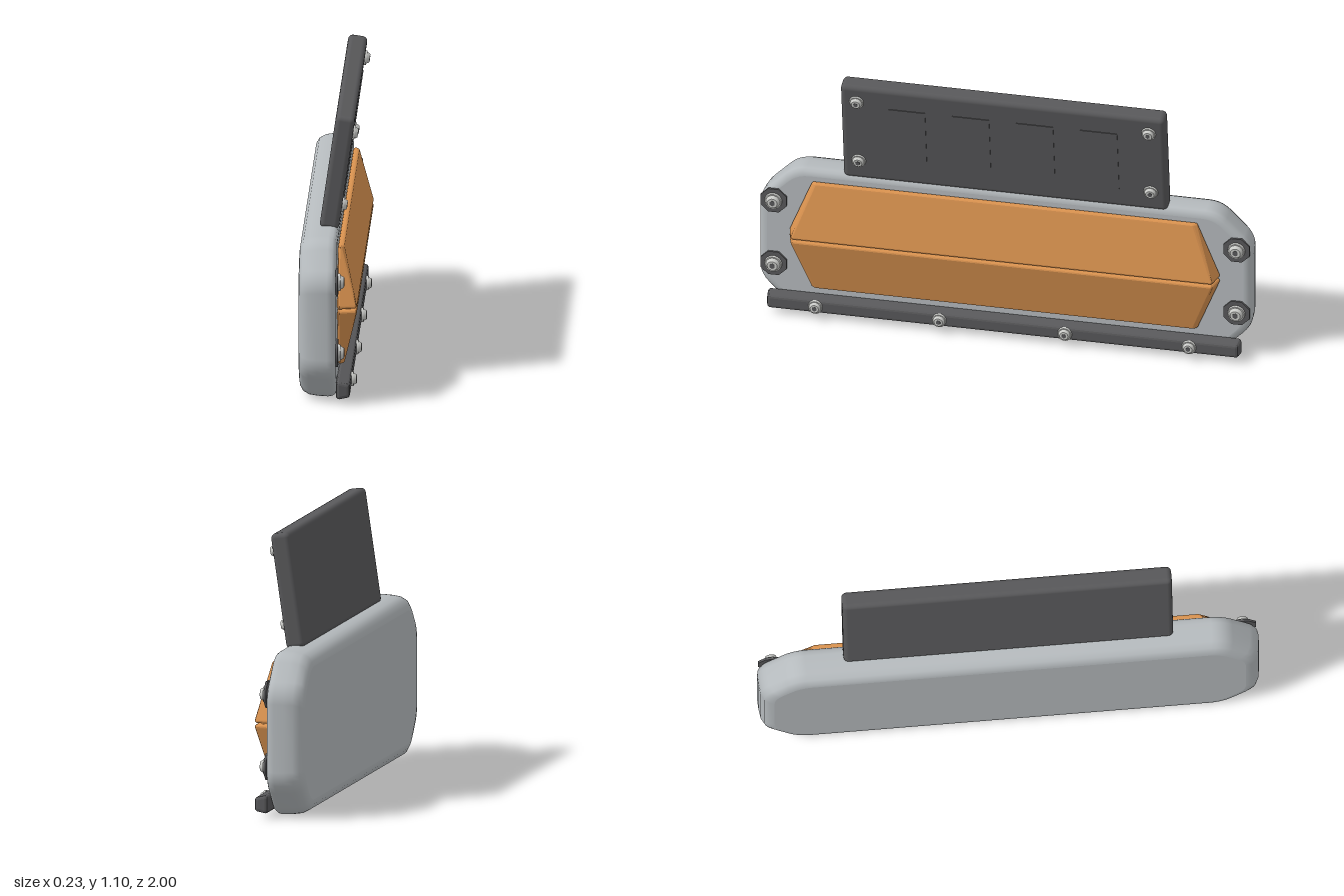
import * as THREE from 'three';
import { RoundedBoxGeometry } from 'three/addons/geometries/RoundedBoxGeometry.js';
import { ConvexGeometry } from 'three/addons/geometries/ConvexGeometry.js';

const mat = (name, color) => {
  const m = new THREE.MeshStandardMaterial({ color });
  m.name = name;
  return m;
};

function addMesh(parent, name, geometry, material, x = 0, y = 0, z = 0) {
  const m = new THREE.Mesh(geometry, material);
  m.name = name;
  m.position.set(x, y, z);
  parent.add(m);
  return m;
}

// Octagonal outline in (y, z) with softened corners, shrunk by inset
function outline(inset) {
  const hy = 0.3275 - inset, hz = 1 - inset, c = 0.14 - inset * 0.586, r = 0.05;
  const corners = [
    [hy, c - hz], [hy, hz - c], [hy - c, hz], [c - hy, hz],
    [-hy, hz - c], [-hy, c - hz], [c - hy, -hz], [hy - c, -hz],
  ].map(([y, z]) => new THREE.Vector2(y, z));
  return corners.flatMap((p, i) => {
    const toward = (q) => q.clone().sub(p).setLength(r).add(p);
    const prev = corners[(i + 7) % 8], next = corners[(i + 1) % 8];
    return new THREE.QuadraticBezierCurve(toward(prev), p, toward(next)).getPoints(5);
  });
}

// Slab lofted along x, with a softer back edge and a tighter front edge
function bodyGeometry() {
  const profile = [
    [-0.115, 0.06], [-0.112, 0.04], [-0.1, 0.02], [-0.075, 0.007], [-0.04, 0.002],
    [0, 0], [0.018, 0.003], [0.029, 0.012], [0.034, 0.024], [0.035, 0.032],
  ];
  const pos = [], index = [];
  const addRing = ([x, inset]) => {
    const start = pos.length / 3;
    outline(inset).forEach((p) => pos.push(x, p.x, p.y));
    return start;
  };
  const n = outline(0).length;
  const rings = profile.map(addRing);
  for (let i = 0; i < rings.length - 1; i++) {
    for (let j = 0; j < n; j++) {
      const k = (j + 1) % n, a = rings[i], b = rings[i + 1];
      index.push(a + j, a + k, b + k, a + j, b + k, b + j);
    }
  }
  // Flat caps use their own vertices so their edges stay clean
  for (const end of [0, profile.length - 1]) {
    const s = addRing(profile[end]), c = pos.length / 3;
    pos.push(profile[end][0], 0, 0);
    for (let j = 0; j < n; j++) {
      const k = (j + 1) % n;
      if (end) index.push(c, s + j, s + k);
      else index.push(c, s + k, s + j);
    }
  }
  const g = new THREE.BufferGeometry();
  g.setAttribute('position', new THREE.Float32BufferAttribute(pos, 3));
  g.setIndex(index);
  g.computeVertexNormals();
  return g;
}

// Convex solid with rounded edges: a small ball at each corner, mirrored in z
function roundedHull(corners, r) {
  const ball = new THREE.SphereGeometry(r, 8, 6).attributes.position;
  const points = [];
  for (const [x, y, z] of corners) {
    for (const s of [-1, 1]) {
      for (let i = 0; i < ball.count; i++) {
        points.push(new THREE.Vector3().fromBufferAttribute(ball, i).add(new THREE.Vector3(x, y, s * z)));
      }
    }
  }
  return new ConvexGeometry(points);
}

export function createModel() {
  const grey = mat('light grey', 0xb5babd);
  const orange = mat('orange', 0xd9924f);
  const dark = mat('dark grey', 0x58585a);
  const steel = mat('pale steel', 0xcacbc8);
  const model = new THREE.Group();
  model.name = 'panelUnit';

  // Disc whose axis points along x, starting at height h
  const disc = (parent, name, r0, r1, h, t, sides, material) => {
    const g = new THREE.CylinderGeometry(r1, r0, t, sides);
    g.rotateY(Math.PI / sides);
    g.rotateZ(-Math.PI / 2);
    return addMesh(parent, name, g, material, h + t / 2);
  };

  // Screw with flange, domed head and hex socket
  const addScrew = (parent, name, x, y, z, size = 1) => {
    const s = new THREE.Group();
    s.name = name;
    s.position.set(x, y, z);
    s.scale.setScalar(size);
    disc(s, 'flange', 0.03, 0.028, -0.002, 0.01, 20, steel);
    disc(s, 'head', 0.024, 0.017, 0.008, 0.012, 20, steel);
    disc(s, 'socket', 0.01, 0.01, 0.0195, 0.0015, 6, dark);
    parent.add(s);
  };

  addMesh(model, 'body', bodyGeometry(), grey, 0, 0.3275, 0);

  // Pair of wedge covers meeting at a central seam
  for (const s of [1, -1]) {
    const g = roundedHull([
      [0.046, s * 0.0125, 0.863], [0.104, s * 0.0125, 0.848],
      [0.046, s * 0.232, 0.775], [0.053, s * 0.232, 0.765],
    ], 0.01);
    addMesh(model, s > 0 ? 'upperCover' : 'lowerCover', g, orange, 0, 0.3645, 0);
  }

  // Corner bolts on octagonal washers
  for (const z of [-0.94, 0.94]) {
    for (const y of [0.208, 0.498]) {
      const bolt = new THREE.Group();
      bolt.name = 'cornerBolt';
      bolt.position.set(0.034, y, z);
      disc(bolt, 'washer', 0.057, 0.057, 0, 0.009, 8, dark);
      addScrew(bolt, 'boltHead', 0.009, 0, 0, 1.2);
      model.add(bolt);
    }
  }

  // Lower rail and its screws
  addMesh(model, 'lowerRail', roundedHull([
    [0.047, 0.033, 0.948], [0.047, 0.079, 0.948],
    [0.077, 0.039, 0.945], [0.077, 0.072, 0.945],
  ], 0.013), dark);
  for (const z of [-0.757, -0.253, 0.257, 0.76]) addScrew(model, 'railScrew', 0.09, 0.056, z);

  // Tilted upper plate with four shallow panels and corner screws
  const plate = new THREE.Group();
  plate.name = 'upperPlate';
  plate.position.set(0.028, 0.872, 0);
  plate.rotation.z = -0.145;
  model.add(plate);
  addMesh(plate, 'plateSlab', new RoundedBoxGeometry(0.077, 0.465, 1.315, 3, 0.02), dark);
  for (const z of [-0.39, -0.13, 0.13, 0.39]) {
    addMesh(plate, 'platePanel', new THREE.BoxGeometry(0.006, 0.28, 0.15), dark, 0.0385, 0, z);
  }
  for (const z of [-0.593, 0.593]) {
    for (const y of [-0.139, 0.159]) addScrew(plate, 'plateScrew', 0.0385, y, z);
  }
  return model;
}
